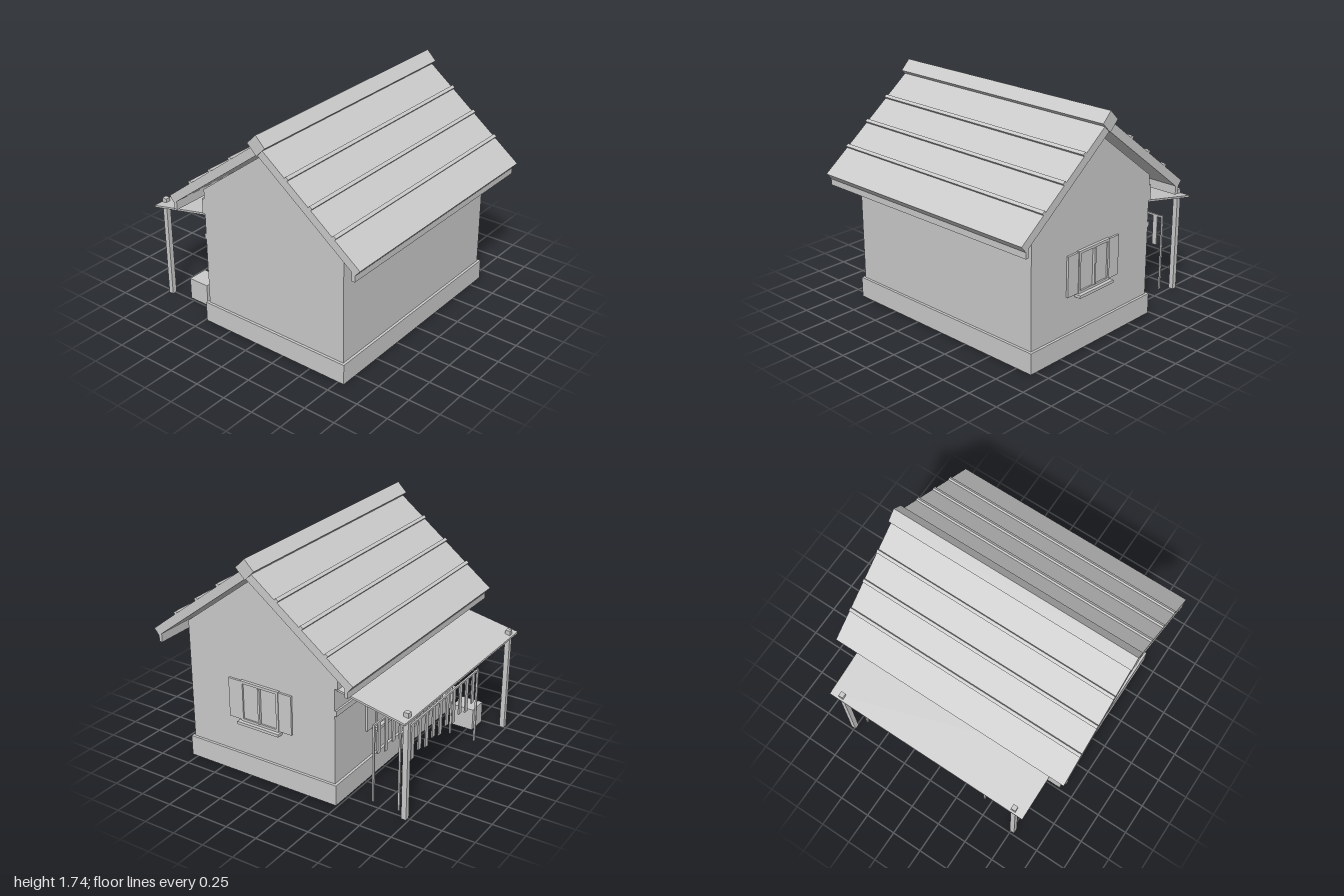
import * as THREE from 'three';

const mat = new THREE.MeshStandardMaterial({ color: 0xcccccc, flatShading: true });
const RIDGE_Z = 0.157;

function add(parent, name, geometry) {
  const mesh = new THREE.Mesh(geometry, mat);
  mesh.name = name;
  parent.add(mesh);
  return mesh;
}

// Box given by its limits on each axis
function box(parent, name, [x0, x1], [y0, y1], [z0, z1]) {
  const mesh = add(parent, name, new THREE.BoxGeometry(x1 - x0, y1 - y0, z1 - z0));
  mesh.position.set((x0 + x1) / 2, (y0 + y1) / 2, (z0 + z1) / 2);
  return mesh;
}

// Profile of [z, y] points swept along x, centred on x = 0
function prism(parent, name, points, width) {
  const shape = new THREE.Shape(points.map(([z, y]) => new THREE.Vector2(-z, y)));
  const geometry = new THREE.ExtrudeGeometry(shape, { depth: width, bevelEnabled: false });
  geometry.translate(0, 0, -width / 2).rotateY(Math.PI / 2);
  return add(parent, name, geometry);
}

function group(parent, name) {
  const g = new THREE.Group();
  g.name = name;
  parent.add(g);
  return g;
}

// Window facing +z, centred on its own origin at the wall surface
function makeWindow(parent, name) {
  const g = group(parent, name);
  for (const s of [-1, 1]) {
    const shutter = box(g, 'shutter', [-0.053, 0.053], [-0.153, 0.153], [0, 0.016]);
    shutter.position.x = s * 0.217;
    const stile = box(g, 'frameSide', [-0.01, 0.01], [-0.16, 0.16], [0, 0.022]);
    stile.position.x = s * 0.154;
    const rail = box(g, 'frameRail', [-0.164, 0.164], [-0.01, 0.01], [0, 0.022]);
    rail.position.y = s * 0.15;
  }
  box(g, 'pane', [-0.15, 0.15], [-0.145, 0.145], [0, 0.01]);
  box(g, 'mullion', [-0.008, 0.008], [-0.14, 0.14], [0, 0.03]);
  box(g, 'sill', [-0.18, 0.18], [-0.18, -0.158], [0, 0.05]);
  return g;
}

// Line of strips hung from a rail between two thin posts
function makeDryingRack(parent, z) {
  const g = group(parent, 'dryingRack');
  for (const x of [-0.44, 0.695]) box(g, 'rackPost', [x - 0.007, x + 0.007], [0, 0.615], [z - 0.007, z + 0.007]);
  box(g, 'rackRail', [-0.44, 0.695], [0.598, 0.612], [z - 0.007, z + 0.007]);
  for (let i = 0; i < 11; i++) {
    const x = -0.37 + i * 0.1;
    box(g, 'hangingStrip', [x - 0.02, x + 0.02], [0.36 - 0.03 * (i % 2), 0.6], [z - 0.005, z + 0.005]);
  }
}

export function createModel() {
  const house = new THREE.Group();
  house.name = 'house';

  // Base and gabled walls
  box(house, 'foundation', [-0.885, 0.885], [0, 0.16], [-0.485, 0.8]);
  prism(house, 'walls', [[0.78, 0.16], [0.78, 1.1], [RIDGE_Z, 1.575], [-0.465, 1.1], [-0.465, 0.16]], 1.73);

  // Two mirrored roof slopes with battens and fascia
  const slope = 0.767, angle = Math.atan(slope);
  for (const s of [1, -1]) {
    const side = group(house, s > 0 ? 'frontRoof' : 'backRoof');
    const at = (d, y) => [RIDGE_Z + s * d, y];
    prism(side, 'roofSlab', [at(0, 1.677), at(0.843, 1.03), at(0.803, 0.982), at(0, 1.597)], 1.97);
    prism(side, 'fascia', [at(0.803, 0.99), at(0.803, 0.935), at(0.777, 0.935), at(0.777, 1.02)], 1.97);
    for (const d of [0.242, 0.436, 0.63]) {
      const batten = add(side, 'batten', new THREE.BoxGeometry(1.97, 0.034, 0.026));
      batten.position.set(0, 1.677 - slope * d, RIDGE_Z + s * d);
      batten.rotation.x = s * angle;
    }
  }
  const ridge = add(house, 'ridgeBeam', new THREE.BoxGeometry(1.985, 0.107, 0.107));
  ridge.position.set(0, 1.665, RIDGE_Z);
  ridge.rotation.x = Math.PI / 4;

  // Windows
  const sideWindow = makeWindow(house, 'sideWindow');
  sideWindow.position.set(0.865, 0.595, RIDGE_Z);
  sideWindow.rotation.y = Math.PI / 2;
  const backWindow = makeWindow(house, 'backWindow');
  backWindow.position.set(0.2, 0.545, -0.465);
  backWindow.rotation.y = Math.PI;

  // Double door in the back wall
  const door = group(house, 'door');
  for (const x of [-0.63, -0.23]) box(door, 'doorJamb', [x - 0.012, x + 0.012], [0.16, 0.87], [-0.495, -0.465]);
  box(door, 'doorHead', [-0.642, -0.218], [0.845, 0.87], [-0.495, -0.465]);
  for (const x of [-0.525, -0.335]) {
    box(door, 'doorLeaf', [x - 0.092, x + 0.092], [0.165, 0.845], [-0.48, -0.465]);
    box(door, 'doorPanel', [x - 0.06, x + 0.06], [0.22, 0.8], [-0.488, -0.465]);
  }

  // Horizontal boards on the back wall
  box(house, 'wallBoard', [-0.865, 0.865], [0.695, 0.735], [-0.48, -0.465]);
  box(house, 'ledgerBoard', [-0.865, 0.865], [0.9, 1.02], [-0.487, -0.465]);

  // Lean-to porch
  const porch = group(house, 'porch');
  prism(porch, 'porchRoof', [[-0.465, 0.9], [-1, 0.79], [-1, 0.775], [-0.465, 0.885]], 1.7);
  for (const x of [-0.762, 0.758]) box(porch, 'porchPost', [x - 0.019, x + 0.019], [0, 0.83], [-0.985, -0.946]);
  for (const z of [-0.672, -0.88]) makeDryingRack(porch, z);
  box(porch, 'crate', [-0.735, -0.575], [0, 0.175], [-0.793, -0.62]);

  return house;
}
